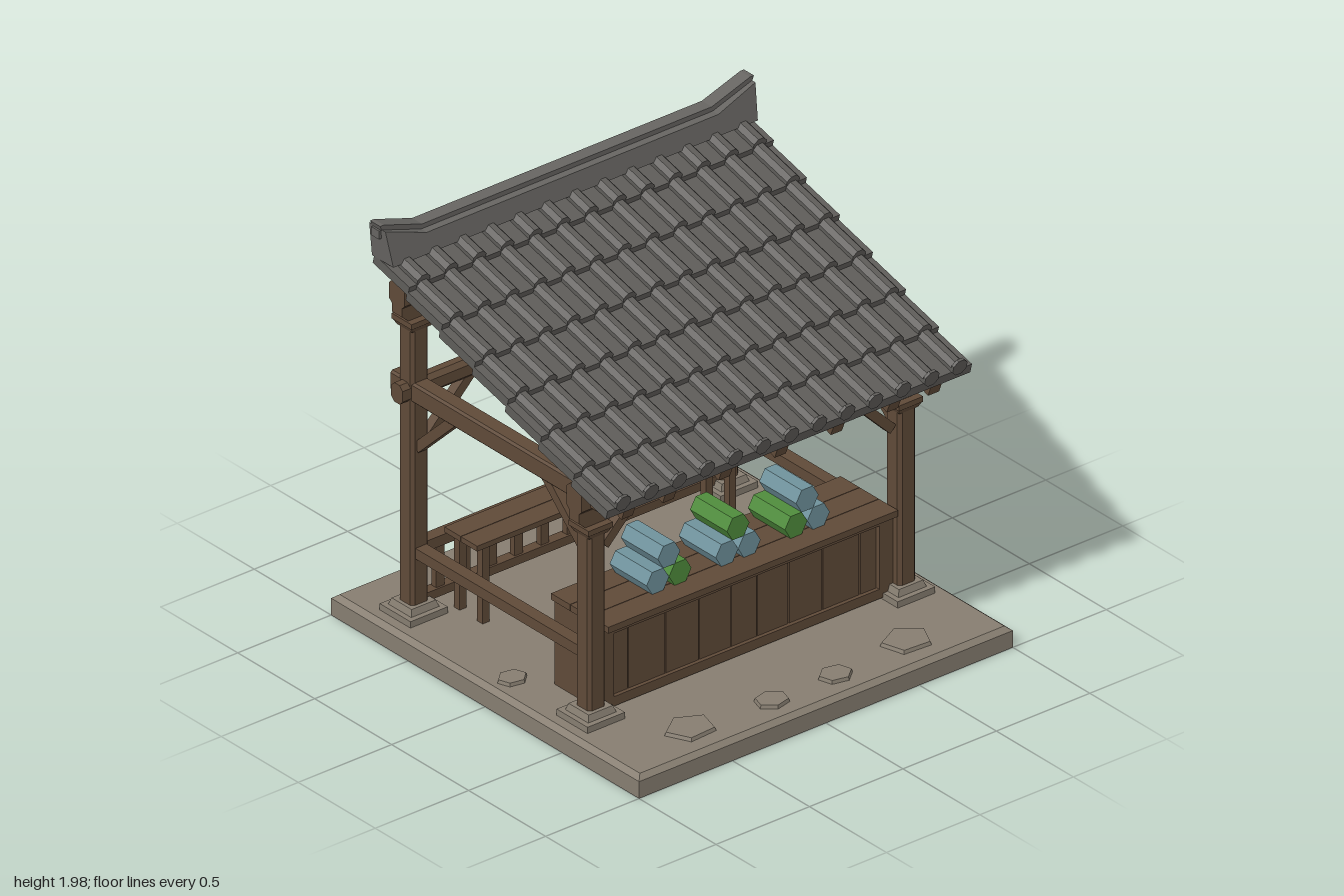
import * as THREE from 'three';

const mat = (name, color) => {
  const m = new THREE.MeshStandardMaterial({ color });
  m.name = name;
  return m;
};

export function createModel() {
  const root = new THREE.Group();
  root.name = 'marketStall';
  const stone = mat('stone', 0x867d70);
  const wood = mat('wood', 0x5f4a38);
  const tile = mat('roofTile', 0x5e5c59);
  const ridgeGrey = mat('ridgeGrey', 0x666461);
  const green = mat('greenCloth', 0x4f8c3c);
  const blue = mat('blueCloth', 0x6f929c);

  const add = (name, geo, material, x = 0, y = 0, z = 0, rx = 0, rz = 0) => {
    const g = geo.index ? geo.toNonIndexed() : geo;
    g.computeVertexNormals();
    const m = new THREE.Mesh(g, material);
    m.name = name;
    m.position.set(x, y, z);
    m.rotation.set(rx, 0, rz);
    root.add(m);
    return m;
  };
  // box given by its extents
  const box = (name, material, x0, x1, y0, y1, z0, z1) =>
    add(name, new THREE.BoxGeometry(x1 - x0, y1 - y0, z1 - z0), material,
      (x0 + x1) / 2, (y0 + y1) / 2, (z0 + z1) / 2);
  const extrude = (pts, depth) => new THREE.ExtrudeGeometry(
    new THREE.Shape(pts.map(p => new THREE.Vector2(p[0], p[1]))), { depth, bevelEnabled: false });
  // chamfered timber along z, centred
  const timber = (w, h, len, c = 0.015) => {
    const a = w / 2, b = h / 2;
    return extrude([[-a + c, -b], [a - c, -b], [a, -b + c], [a, b - c],
      [a - c, b], [-a + c, b], [-a, b - c], [-a, -b + c]], len).translate(0, 0, -len / 2);
  };
  // square frustum standing on y = 0
  const frustum = (bottom, top, h) => new THREE.CylinderGeometry(
    top * Math.SQRT1_2, bottom * Math.SQRT1_2, h, 4).rotateY(Math.PI / 4).translate(0, h / 2, 0);

  // base slab with bevelled rim
  box('baseSlab', stone, -1, 1, 0, 0.08, -1, 1);
  add('baseTop', frustum(2, 1.95, 0.02), stone, 0, 0.08, 0);

  // flat paving stones
  const paver = (x, z, r, sides, turn) => add('pavingStone',
    new THREE.CylinderGeometry(r * 0.94, r, 0.016, sides).rotateY(turn).scale(1, 1, 0.85),
    stone, x, 0.108, z);
  for (const s of [-1, 1]) {
    paver(s * 0.58, 0.82, 0.12, 5, s * 0.55);
    paver(s * 0.17, 0.855, 0.08, 6, s * 0.25);
    paver(s * 0.88, 0.03, 0.07, 6, 0.3);
  }

  // posts, plinths and bracket caps
  const PX = 0.83, FZ = 0.48, BZ = -0.67;
  for (const x of [-PX, PX]) for (const [z, top] of [[FZ, 0.98], [BZ, 1.46]]) {
    box('plinth', stone, x - 0.1, x + 0.1, 0.1, 0.13, z - 0.1, z + 0.1);
    add('plinthTop', frustum(0.15, 0.13, 0.03), stone, x, 0.13, z);
    add('post', timber(0.095, 0.095, top - 0.12).rotateX(Math.PI / 2), wood, x, (top + 0.12) / 2, z);
    add('postCollar', frustum(0.1, 0.125, 0.025), wood, x, top, z);
    box('postCap', wood, x - 0.065, x + 0.065, top + 0.025, top + 0.05, z - 0.065, z + 0.065);
    add('bracketArm', extrude([[-0.05, 0], [0.05, 0], [0.09, 0.035], [0.09, 0.08],
      [-0.09, 0.08], [-0.09, 0.035]], 0.064), wood, x, top + 0.045, z - 0.032);
  }

  // main beams
  const beamX = (name, y, z, w, h, len) =>
    add(name, timber(w, h, len, 0.02).rotateY(Math.PI / 2), wood, 0, y, z);
  beamX('frontBeam', 1.165, FZ, 0.1, 0.125, 1.84);
  beamX('backTieBeam', 1.165, BZ, 0.075, 0.09, 1.84);
  beamX('backTopBeam', 1.635, BZ, 0.1, 0.115, 1.84);
  for (const x of [-PX, PX]) {
    add('sideBeam', timber(0.085, 0.095, 1.36, 0.01), wood, x, 1.167, -0.09);
    box('sideRail', wood, x - 0.03, x + 0.03, 0.38, 0.43, BZ, FZ);
  }

  // diagonal braces
  const brace = (a, b) => {
    const p = new THREE.Vector3(...a), q = new THREE.Vector3(...b);
    const m = add('brace', new THREE.BoxGeometry(0.045, 0.045, p.distanceTo(q)), wood);
    m.position.copy(p).add(q).multiplyScalar(0.5);
    m.lookAt(q);
  };
  for (const s of [-1, 1]) {
    for (const z of [FZ, BZ]) brace([s * 0.77, 0.9, z], [s * 0.54, 1.13, z]);
    brace([s * PX, 0.9, FZ - 0.04], [s * PX, 1.14, 0.19]);
    brace([s * PX, 0.9, BZ + 0.04], [s * PX, 1.14, -0.38]);
  }

  // counter with framed plank front
  box('counterBody', wood, -0.77, 0.77, 0.1, 0.495, 0.17, 0.455);
  box('counterFrameTop', wood, -0.785, 0.785, 0.455, 0.495, 0.45, 0.485);
  box('counterFrameBottom', wood, -0.785, 0.785, 0.11, 0.155, 0.45, 0.485);
  for (const s of [-1, 1])
    box('counterFrameSide', wood, s * 0.7475 - 0.0375, s * 0.7475 + 0.0375, 0.155, 0.455, 0.45, 0.485);
  const seams = [-0.71, -0.62, -0.42, -0.24, -0.07, 0.07, 0.24, 0.42, 0.62, 0.71];
  for (let i = 0; i < 9; i++)
    box('counterPlank', wood, seams[i] + 0.003, seams[i + 1] - 0.003, 0.155, 0.455, 0.45, 0.467);
  for (let i = 0; i < 3; i++)
    box('counterTopBoard', wood, -0.775, 0.775, 0.495, 0.525, 0.155 + i * 0.125, 0.277 + i * 0.125);

  // bench and back railing
  for (let i = 0; i < 2; i++)
    box('benchBoard', wood, -0.72, 0.72, 0.465, 0.49, -0.605 + i * 0.108, -0.5 + i * 0.108);
  for (const x of [-0.66, 0.66]) {
    for (const z of [-0.575, -0.425])
      box('benchLeg', wood, x - 0.018, x + 0.018, 0.1, 0.465, z - 0.018, z + 0.018);
    box('benchBearer', wood, x - 0.018, x + 0.018, 0.435, 0.465, -0.59, -0.41);
  }
  box('railTop', wood, -PX, PX, 0.38, 0.43, BZ - 0.03, BZ + 0.03);
  box('railBottom', wood, -PX, PX, 0.14, 0.18, BZ - 0.025, BZ + 0.025);
  for (let i = 0; i < 11; i++) {
    const x = -0.7 + i * 0.14;
    box('baluster', wood, x - 0.022, x + 0.022, 0.18, 0.38, BZ - 0.015, BZ + 0.015);
  }

  // stacked hexagonal cloth rolls
  const roll = (x, y, z, r, len, m) => add('clothRoll',
    new THREE.CylinderGeometry(r, r, len, 6).rotateY(Math.PI / 6).rotateX(Math.PI / 2), m, x, y, z);
  const stacks = [[-0.37, blue, green, blue], [0, blue, blue, green], [0.37, green, blue, blue]];
  for (const [x, l, r, t] of stacks) {
    roll(x - 0.06, 0.578, 0.31, 0.06, 0.24, l);
    roll(x + 0.06, 0.578, 0.31, 0.06, 0.24, r);
    roll(x, 0.681, 0.31, 0.06, 0.24, t);
  }
  for (const s of [-1, 1]) {
    roll(s * 0.15, 0.533, -0.5, 0.05, 0.2, blue);
    roll(s * 0.05, 0.533, -0.5, 0.05, 0.2, green);
    roll(s * 0.1, 0.619, -0.5, 0.05, 0.2, green);
  }

  // roof deck and rafters
  const SLOPE = 0.389, PITCH = Math.atan(SLOPE);
  const deckY = z => 1.2 + SLOPE * (0.765 - z);
  add('roofDeck', new THREE.BoxGeometry(1.93, 0.015, 1.59), wood, 0, deckY(0.005), 0.005, PITCH);
  for (const x of [-0.82, -0.6, -0.3, 0, 0.3, 0.6, 0.82])
    add('rafter', new THREE.BoxGeometry(0.06, 0.075, 1.56), wood, x, deckY(-0.01) - 0.045, -0.01, PITCH);

  // seven overlapping rows of pan and cover tiles
  const TILT = Math.atan(0.256), ROW = 0.2145, LEN = 0.235;
  const cover = new THREE.CylinderGeometry(0.037, 0.037, LEN, 8)
    .rotateY(Math.PI / 8).rotateX(Math.PI / 2).translate(0, 0, -LEN / 2);
  const pan = new THREE.BoxGeometry(1.95, 0.045, LEN).translate(0, -0.022, -LEN / 2);
  for (let i = 0; i < 7; i++) {
    const z = 0.765 - i * ROW, y = 1.255 + i * 0.0835;
    add('panTileRow', pan, tile, 0, y - 0.005, z, TILT);
    for (let c = -6; c <= 6; c++) add('coverTile', cover, tile, c * 0.15, y, z, TILT);
  }
  const disc = new THREE.CylinderGeometry(0.04, 0.04, 0.014, 8).rotateY(Math.PI / 8).rotateX(Math.PI / 2);
  for (let c = -6; c <= 6; c++) add('eaveDisc', disc, tile, c * 0.15, 1.268, 0.772, TILT);

  // ridge with upswept ends and sloping front
  const ridge = extrude([[-0.975, 1.8], [0.975, 1.8], [0.99, 1.96], [0.78, 1.89],
    [-0.78, 1.89], [-0.99, 1.96]], 0.139);
  const p = ridge.attributes.position;
  for (let i = 0; i < p.count; i++)
    if (p.getZ(i) > 0.1) p.setZ(i, 0.139 - 0.034 * (p.getY(i) - 1.8) / 0.16);
  add('ridge', ridge, ridgeGrey, 0, 0, -0.765);
  add('ridgeCap', extrude([[-0.78, 1.885], [0.78, 1.885], [0.99, 1.955], [1, 1.98], [0.98, 1.98],
    [0.775, 1.912], [-0.775, 1.912], [-0.98, 1.98], [-1, 1.98], [-0.99, 1.955]], 0.065), ridgeGrey, 0, 0, -0.747);
  for (const s of [-1, 1])
    box('ridgeEndKnob', ridgeGrey, s * 0.99 - 0.01, s * 0.99 + 0.01, 1.915, 1.955, -0.74, -0.69);

  return root;
}
